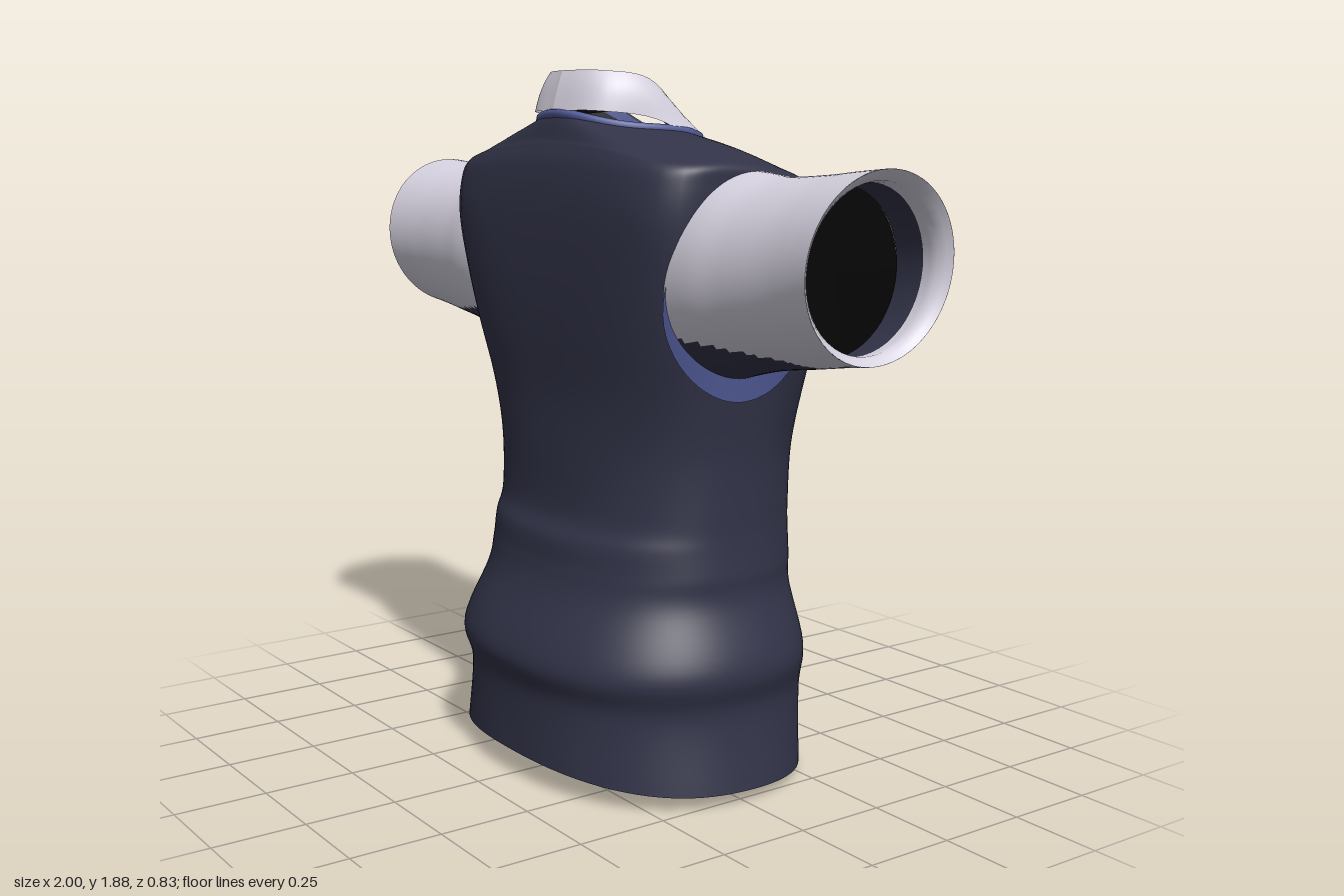
import * as THREE from 'three';

const mat = (name, color) => {
  const m = new THREE.MeshStandardMaterial({ color, side: THREE.DoubleSide });
  m.name = name;
  return m;
};

// Torso rings: centre height, tilt, sag, half width, front depth, back depth, squareness
const RINGS = [
  [0.045, 0.09, 0, 0.535, 0.39, 0.40, 2.3],
  [0.24, 0.04, 0, 0.505, 0.413, 0.395, 2.3],
  [0.36, 0, 0, 0.528, 0.41, 0.415, 2.3],
  [0.52, 0, 0, 0.468, 0.39, 0.345, 2.3],
  [0.60, 0, 0, 0.462, 0.39, 0.322, 2.3],
  [0.67, 0, 0, 0.455, 0.39, 0.312, 2.3],
  [0.74, 0, 0, 0.452, 0.39, 0.285, 2.3],
  [0.90, 0, 0, 0.455, 0.40, 0.283, 2.3],
  [1.05, 0, 0, 0.475, 0.403, 0.285, 2.6],
  [1.20, 0.03, 0, 0.50, 0.393, 0.297, 3.2],
  [1.35, 0.10, 0, 0.517, 0.36, 0.303, 4.2],
  [1.50, 0.18, 0.1, 0.53, 0.317, 0.30, 5.5],
  [1.60, 0.26, 0.3, 0.535, 0.282, 0.285, 5.5],
  [1.645, 0.33, 0.5, 0.53, 0.262, 0.268, 5],
  [1.667, 0.34, 0.6, 0.48, 0.25, 0.26, 4],
  [1.705, 0.36, 0.7, 0.36, 0.235, 0.25, 2.8],
  [1.735, 0.38, 0.8, 0.22, 0.20, 0.24, 2.2],
];

// Smooth blend of the rows of a table, t in 0..1
function blend(rows, t) {
  const f = Math.min(Math.max(t, 0), 1) * (rows.length - 1);
  const i = Math.min(Math.floor(f), rows.length - 2), u = f - i;
  const at = k => rows[Math.min(Math.max(k, 0), rows.length - 1)];
  return rows[i].map((b, k) => {
    const a = at(i - 1)[k], c = at(i + 1)[k], d = at(i + 2)[k];
    return b + 0.5 * u * (c - a + u * (2 * a - 5 * b + 4 * c - d + u * (3 * (b - c) + d - a)));
  });
}

const arc = (r, n) => Math.pow(Math.max(0, 1 - Math.pow(Math.min(1, Math.abs(r)), n)), 1 / n);
// Rings tilt along the middle and level out towards the shoulders
const height = (r, x, z) => r[0] + r[1] * z * (1 - 0.7 * Math.min(1, (x / r[3]) ** 2)) - r[2] * z * z;

function torso(u, t) {
  const r = blend(RINGS, t), n = r[6];
  const c = Math.cos(u * Math.PI * 2), d = Math.sin(u * Math.PI * 2);
  const k = Math.pow(Math.abs(c) ** n + Math.abs(d) ** n, -1 / n);
  const x = r[3] * c * k, z = d * k * (d < 0 ? r[4] : r[5]);
  return [x, height(r, x, z), z];
}

// Solve the ring at which the surface passes a given height
function solve(y, xAt, zAt) {
  let lo = 0, hi = 1;
  for (let i = 0; i < 30; i++) {
    const m = (lo + hi) / 2, r = blend(RINGS, m);
    if (height(r, xAt(r), zAt(r)) < y) lo = m; else hi = m;
  }
  return blend(RINGS, lo);
}
const chestZ = (x, y) => {
  const zAt = r => -r[4] * arc(x / r[3], r[6]);
  return zAt(solve(y, () => x, zAt));
};
const sideX = (y, z) => {
  const xAt = r => r[3] * arc(z / (z < 0 ? r[4] : r[5]), r[6]);
  return xAt(solve(y, xAt, () => z));
};

// Grid surface from fn(u, v); paint(u, v) may choose a second material
function sheet(name, fn, nu, nv, material, closed = false, paint = null) {
  const pos = [], first = [], second = [], cols = closed ? nu : nu + 1;
  for (let j = 0; j <= nv; j++)
    for (let i = 0; i < cols; i++) pos.push(...fn(i / nu, j / nv));
  for (let j = 0; j < nv; j++)
    for (let i = 0; i < nu; i++) {
      const a = j * cols + i, b = j * cols + (i + 1) % cols, c = a + cols, d = b + cols;
      const list = paint && paint((i + 0.5) / nu, (j + 0.5) / nv) ? second : first;
      list.push(a, c, b, b, c, d);
    }
  const g = new THREE.BufferGeometry();
  g.setAttribute('position', new THREE.Float32BufferAttribute(pos, 3));
  g.setIndex([...first, ...second]);
  if (paint) {
    g.addGroup(0, first.length, 0);
    g.addGroup(first.length, second.length, 1);
  }
  g.computeVertexNormals();
  const mesh = new THREE.Mesh(g, material);
  mesh.name = name;
  return mesh;
}

export function createModel() {
  const navy = mat('navy knit', 0x323348), white = mat('shirt white', 0xd6d2e0);
  const blue = mat('blue trim', 0x535d9b), orange = mat('tie orange', 0xd46e2e);
  const black = mat('inside black', 0x050505);
  const model = new THREE.Group();
  model.name = 'vestAndShirt';

  // Vest body with its dark hem and neck openings
  model.add(sheet('vest', torso, 96, 112, navy, true));
  const fan = (name, t, cy, cz) => sheet(name, (u, v) => {
    const p = torso(u, t);
    return [p[0] * v, cy + (p[1] - cy) * v, cz + (p[2] - cz) * v];
  }, 96, 4, black, true);
  model.add(fan('hemOpening', 0, 0.05, 0), fan('neckOpening', 1, 1.66, 0.02));

  // Blue edge around the back of the neckline
  const neckPts = [];
  for (let i = 0; i <= 24; i++)
    neckPts.push(new THREE.Vector3(...torso(-0.06 + 0.62 * i / 24, 1)));
  const neckTrim = new THREE.Mesh(
    new THREE.TubeGeometry(new THREE.CatmullRomCurve3(neckPts), 48, 0.013, 6), blue);
  neckTrim.name = 'necklineTrim';
  model.add(neckTrim);

  // Shirt triangle in the V of the vest
  model.add(sheet('shirtFront', (u, v) => {
    const y = 1.305 + 0.325 * v, x = (u * 2 - 1) * 0.185 * Math.pow(v, 0.85);
    return [x, y, chestZ(x, y) - 0.006];
  }, 12, 14, white));

  // Ridged tie blade and knot
  const bladeWidth = [[0.04], [0.06], [0.08], [0.066], [0.036], [0.003]];
  model.add(sheet('tieBlade', (u, v) => {
    const k = u * 2 - 1, y = 1.57 - 0.27 * v, x = k * blend(bladeWidth, v)[0];
    return [x, y, chestZ(x, y) - 0.008 - 0.028 * (1 - Math.abs(k)) * (1 - 0.6 * v)];
  }, 8, 16, orange));
  const knot = new THREE.Mesh(new THREE.CylinderGeometry(0.068, 0.045, 0.1, 10), orange);
  knot.name = 'tieKnot';
  knot.scale.z = 0.6;
  knot.rotation.x = 0.75;
  knot.position.set(0, 1.588, -0.226);
  model.add(knot);

  // Collar half profiles, from the centre back to the front point
  const fold = [[0, 1.89, 0.215], [0.12, 1.888, 0.175], [0.17, 1.868, 0.06],
    [0.11, 1.78, -0.08], [0.022, 1.68, -0.2]];
  const edge = [[0, 1.785, 0.247], [0.145, 1.785, 0.21], [0.212, 1.765, 0.07],
    [0.24, 1.695, -0.07], [0.245, 1.643, -0.175]];
  const sleeveRows = [ // x, centre y, vertical radius, depth radius
    [0.44, 1.375, 0.27, 0.235], [0.55, 1.385, 0.25, 0.233], [0.66, 1.392, 0.234, 0.222],
    [0.80, 1.405, 0.228, 0.216], [0.90, 1.417, 0.226, 0.22], [0.98, 1.425, 0.225, 0.228]];

  for (const s of [1, -1]) {
    const side = s > 0 ? 'left' : 'right';

    // Folded collar flap with a pointed front edge, and its inner stand
    model.add(sheet(side + 'Collar', (u, v) => {
      const a = blend(fold, u), b = blend(edge, u);
      const p = a.map((c, k) => c + (b[k] - c) * v);
      const puff = 0.008 * Math.sin(Math.PI * v);
      const point = 0.04 * u ** 6 * Math.sin(Math.PI * v ** 1.6);
      return [s * (p[0] + puff * Math.min(1, p[0] / 0.15)), p[1] + puff - 0.4 * point, p[2] - point];
    }, 24, 10, white));
    model.add(sheet(side + 'CollarStand', (u, v) => {
      const p = blend(fold, u);
      return [s * p[0] * (1 - 0.04 * v), p[1] - 0.004 - 0.12 * v * (1 - 0.6 * u), p[2] - 0.008 * v];
    }, 20, 4, [blue, black], false, (u, v) => v > 0.5));

    // Sleeve; its underside near the armpit is navy
    const sleevePoint = (u, t, k) => {
      const [x, cy, ry, rz] = blend(sleeveRows, t), a = u * Math.PI * 2;
      return [s * (x + 0.02 * t * t * Math.sin(a)), cy + k * ry * Math.sin(a), k * rz * Math.cos(a) - 0.003];
    };
    model.add(sheet(side + 'Sleeve', (u, v) => sleevePoint(u, v, 1), 96, 48, [white, navy], true,
      (u, v) => Math.sin(u * Math.PI * 2 - 0.2) < -0.68 - 0.5 * v));
    model.add(sheet(side + 'CuffInside', (u, v) => sleevePoint(u, 1 - 0.35 * v, 1 - 0.11 * Math.min(1, v * 4)),
      48, 8, [white, navy], true, (u, v) => v > 0.5));
    model.add(sheet(side + 'SleeveOpening', (u, v) => {
      const p = sleevePoint(u, 0.66, 0.93 * v);
      return [s * 0.82, p[1], p[2]];
    }, 48, 1, black, true));

    // Blue armhole edge, widest below the sleeve
    model.add(sheet(side + 'ArmholeTrim', (u, v) => {
      const a = u * Math.PI * 2, w = 0.02 + 0.2 * (0.5 - 0.5 * Math.sin(a));
      const k = 1 - w * v, y = 1.345 + 0.287 * k * Math.sin(a), z = -0.008 + 0.24 * k * Math.cos(a);
      return [s * (sideX(y, z) + 0.007), y, z];
    }, 64, 4, blue, true));
  }
  return model;
}
